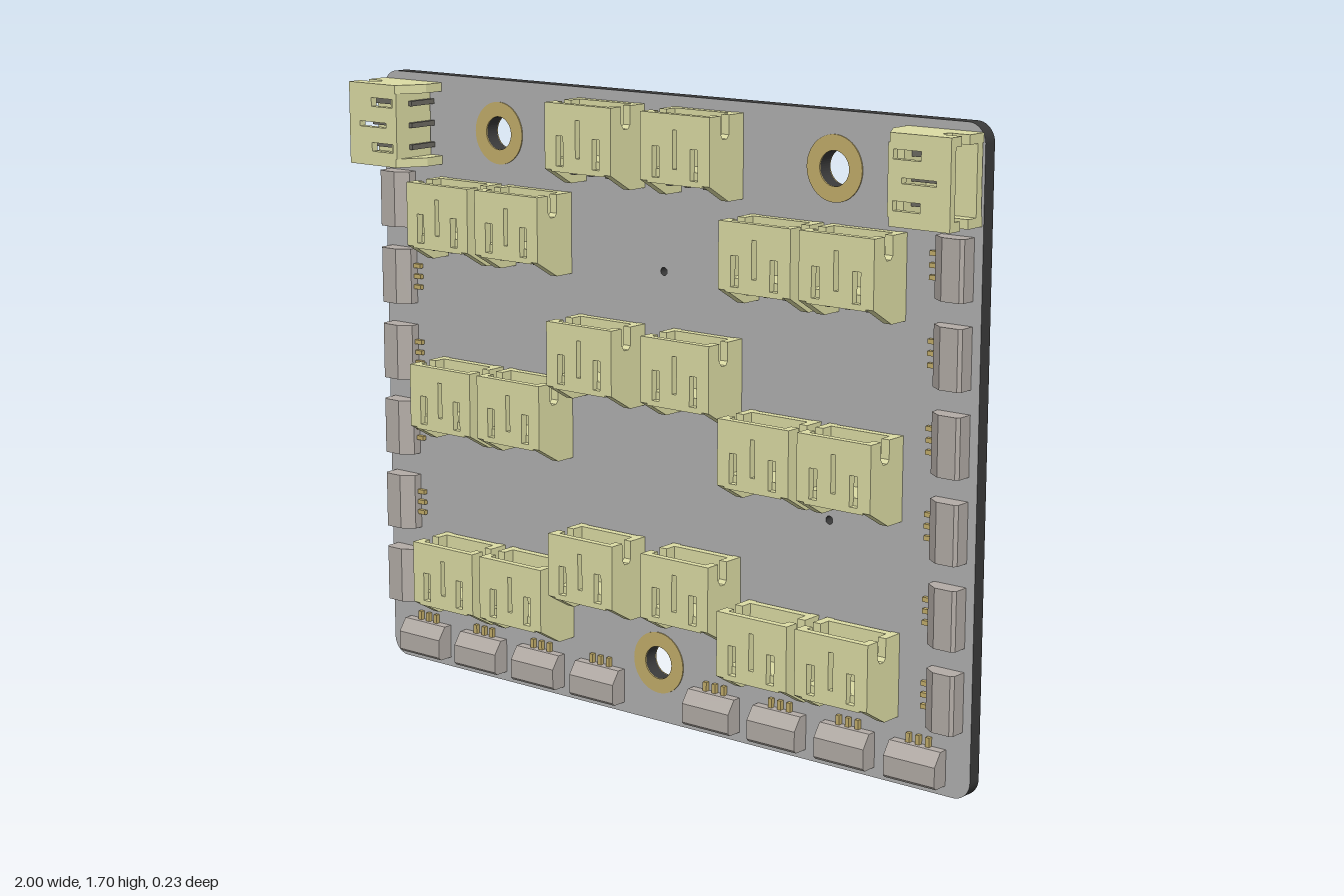
import * as THREE from 'three';

const mat = (color) => new THREE.MeshStandardMaterial({ color });
const plastic = mat(0xdcdca4), gold = mat(0xc2ad6a), metal = mat(0x6c6a62);
const shell = mat(0xb3aca6), boardFace = mat(0xb0b0b0), boardEdge = mat(0x3a3a3a);
const FRONT = -0.02, BACK = -0.06;

function mesh(name, geometry, material, x = 0, y = 0, z = 0) {
  const m = new THREE.Mesh(geometry, material);
  m.name = name;
  m.position.set(x, y, z);
  return m;
}

const box = (name, w, h, d, material, x, y, z) => mesh(name, new THREE.BoxGeometry(w, h, d), material, x, y, z);

const polygon = (pts) => new THREE.Shape(pts.map(([x, y]) => new THREE.Vector2(x, y)));

const extrude = (shape, depth) => new THREE.ExtrudeGeometry(shape, { depth, bevelEnabled: false, curveSegments: 24 });

// Extrude a (height, along) profile across x, centred; height becomes z, along becomes y
function sideExtrude(pts, width) {
  const g = extrude(polygon(pts), width);
  g.translate(0, 0, -width / 2);
  g.rotateY(-Math.PI / 2);
  return g;
}

function circlePath(x, y, r) {
  return new THREE.Path().absarc(x, y, r, 0, Math.PI * 2, true);
}

function rectPath(x0, y0, x1, y1) {
  return new THREE.Path([[x0, y0], [x0, y1], [x1, y1], [x1, y0]].map(([x, y]) => new THREE.Vector2(x, y)));
}

const mounts = [[-0.565, 1.555], [0.56, 1.555], [-0.003, 0.165]];
const vias = [[0.013, 1.237], [0.557, 0.655]];

// Rounded board with mounting holes and two small holes
function makeBoard() {
  const r = 0.05, s = new THREE.Shape();
  s.absarc(1 - r, r, r, -Math.PI / 2, 0);
  s.absarc(1 - r, 1.7 - r, r, 0, Math.PI / 2);
  s.absarc(-1 + r, 1.7 - r, r, Math.PI / 2, Math.PI);
  s.absarc(-1 + r, r, r, Math.PI, Math.PI * 1.5);
  mounts.forEach(([x, y]) => s.holes.push(circlePath(x, y, 0.045)));
  vias.forEach(([x, y]) => s.holes.push(circlePath(x, y, 0.011)));
  return mesh('board', extrude(s, FRONT - BACK), [boardFace, boardEdge], 0, 0, BACK);
}

// Side-entry pin header: y runs from the rear (0) to the open mouth (0.22), z is height above the board
const sideWall = sideExtrude([
  [0, 0], [0.06, 0], [0.138, 0.045], [0.138, 0.22], [0.095, 0.22],
  [0.095, 0.175], [0.085, 0.16], [0.068, 0.16], [0.06, 0.17], [0.06, 0.22], [0, 0.22],
], 0.024);

const coverShape = polygon([[-0.09, 0.04], [0.09, 0.04], [0.09, 0.22], [-0.09, 0.22]]);
coverShape.holes.push(rectPath(-0.007, 0.08, 0.007, 0.18));
[-1, 1].forEach((s) => {
  const a = s * 0.05, b = s * 0.074;
  coverShape.holes.push(rectPath(Math.min(a, b), 0.055, Math.max(a, b), 0.135));
});
const cover = extrude(coverShape, 0.02);

function makeHeader() {
  const g = new THREE.Group();
  g.name = 'pinHeader';
  for (const s of [-1, 1]) g.add(mesh('headerSideWall', sideWall, plastic, s * 0.101, 0, 0));
  g.add(mesh('headerCover', cover, plastic, 0, 0, 0.118));
  g.add(box('headerFloor', 0.18, 0.18, 0.022, plastic, 0, 0.13, 0.015));
  g.add(box('headerRearWall', 0.18, 0.035, 0.117, plastic, 0, 0.0575, 0.0625));
  for (const x of [-0.06, 0, 0.06]) {
    g.add(box('contactPin', 0.014, 0.15, 0.014, metal, x, 0.105, 0.082));
    g.add(box('solderLeg', 0.014, 0.014, 0.184, metal, x, 0.035, -0.003));
  }
  return g;
}

// Small edge connector: y runs from the board edge inwards, chamfered on the inner side
const edgeShell = sideExtrude([
  [0, 0], [0.042, 0], [0.05, 0.008], [0.05, 0.06], [0.025, 0.095], [0, 0.095],
], 0.156);

function makeEdgeConnector() {
  const g = new THREE.Group();
  g.name = 'edgeConnector';
  g.add(mesh('edgeConnectorShell', edgeShell, shell));
  for (const x of [-0.03, 0, 0.03]) g.add(box('edgeConnectorContact', 0.012, 0.04, 0.012, gold, x, 0.1, 0.008));
  return g;
}

export function createModel() {
  const model = new THREE.Group();
  model.name = 'circuitBoard';
  model.add(makeBoard());

  const place = (part, x, y, turn = 0) => {
    part.position.set(x, y, FRONT);
    part.rotation.z = turn;
    model.add(part);
  };

  // Plated rings on both faces
  const ring = new THREE.Shape().absarc(0, 0, 0.085, 0, Math.PI * 2, false);
  ring.holes.push(circlePath(0, 0, 0.045));
  const ringGeometry = extrude(ring, 0.003);
  for (const [x, y] of mounts) {
    model.add(mesh('mountingRingFront', ringGeometry, gold, x, y, FRONT));
    model.add(mesh('mountingRingBack', ringGeometry, gold, x, y, BACK - 0.003));
  }

  // Header rows facing up, and one header facing out at each top corner
  const inner = [-0.165, 0.16], outer = [-0.673, -0.42, 0.415, 0.667];
  for (const y of [1.452, 0.87, 0.288]) inner.forEach((x) => place(makeHeader(), x, y));
  for (const y of [1.197, 0.688, 0.178]) outer.forEach((x) => place(makeHeader(), x, y));
  place(makeHeader(), -0.78, 1.565, Math.PI / 2);
  place(makeHeader(), 0.775, 1.565, -Math.PI / 2);

  // Edge connectors along both sides and the bottom
  for (let i = 0; i < 6; i++) {
    const y = 0.256 + i * 0.218;
    place(makeEdgeConnector(), -0.98, y, -Math.PI / 2);
    place(makeEdgeConnector(), 0.975, y, Math.PI / 2);
  }
  for (let i = 0; i < 4; i++) {
    place(makeEdgeConnector(), -0.855 + i * 0.217, 0.027);
    place(makeEdgeConnector(), 0.195 + i * 0.218, 0.027);
  }

  // Paired solder pads on the back
  for (const x of [0.68, 0.39]) {
    for (let i = 0; i < 5; i++) {
      for (const s of [-1, 1]) {
        model.add(box('solderPad', 0.11, 0.055, 0.004, gold, x, 0.35 + i * 0.258 + s * 0.036, BACK - 0.001));
      }
    }
  }
  return model;
}
